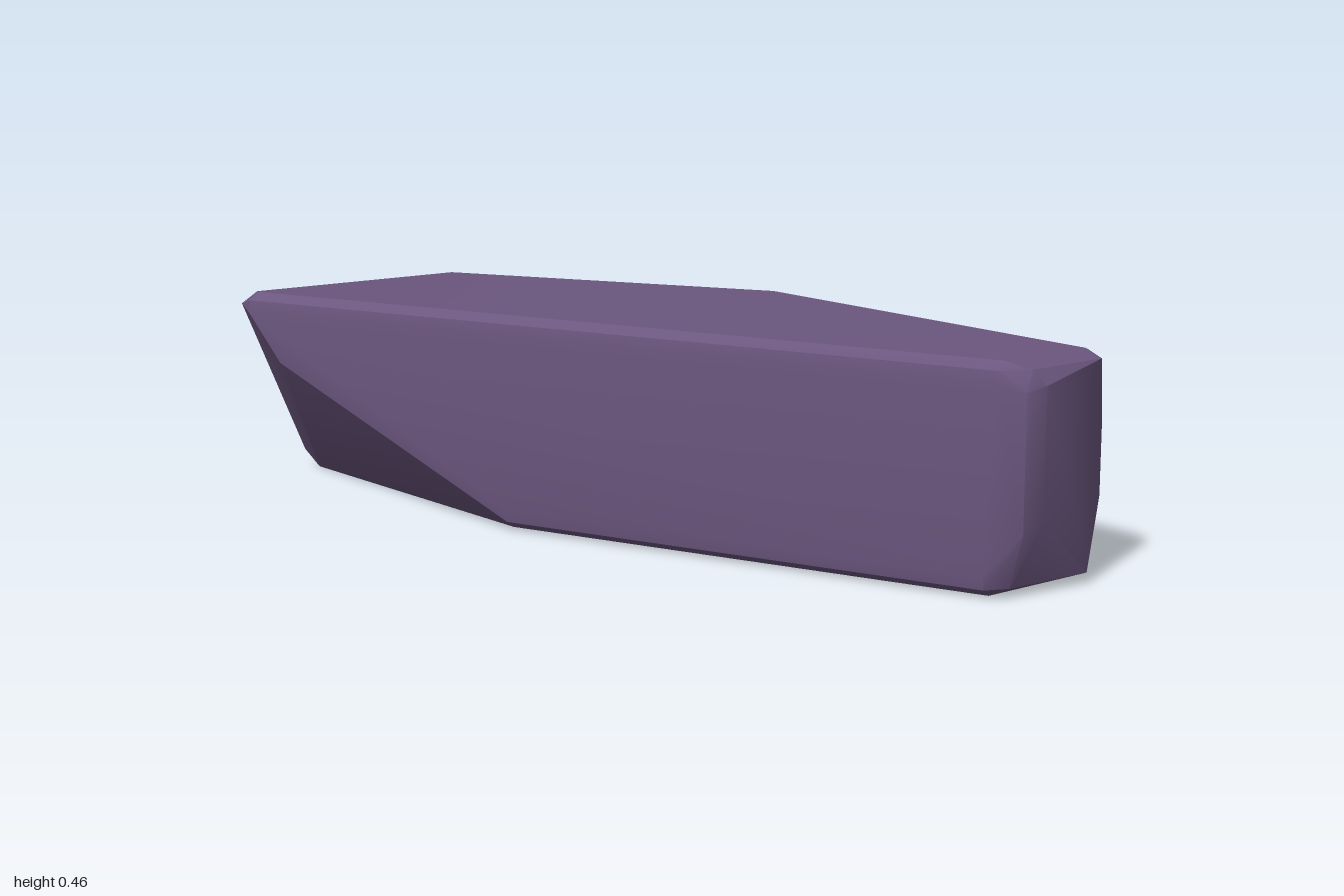
import * as THREE from 'three';
import { ConvexGeometry } from 'three/addons/geometries/ConvexGeometry.js';
import { toCreasedNormals } from 'three/addons/utils/BufferGeometryUtils.js';

export function createModel() {
  const corners = [];
  const add = (...list) => list.forEach(p => corners.push(new THREE.Vector3(...p)));

  // Rounded long front edges: the upper one runs the full length, the lower one stops at the chipped corner
  const profile = [[0.01, 0.305], [0.02, 0.3], [0.045, 0.275]]; // inset from top or bottom, z
  const insets = [0.045, 0.018, 0.002];
  profile.forEach(([, z], i) => {
    add([-0.89, 0.457 - insets[i], z], [0.89, 0.457 - insets[i], z]);
    add([-0.21, insets[i], z], [0.87, insets[i], z]);
  });

  // Flat back face
  add([0.1, 0.457, -0.305], [0.08, 0.19, -0.305], [-0.05, 0.002, -0.305],
    [-0.95, 0, -0.305], [-1, 0.035, -0.305], [-0.86, 0.35, -0.305]);

  // Top facet that falls away to the back
  add([-0.7, 0.457, -0.2]);

  // Slanted end with the chipped lower corner
  add([-0.95, 0.432, 0.22], [-0.94, 0.425, 0.27], [-0.92, 0.45, 0.24],
    [-0.81, 0.305, 0.3], [-1, 0.035, -0.01], [-0.95, 0, 0.0]);

  // Narrow rounded end
  add([0.99, 0.31, 0.02], [0.99, 0.16, 0.02], [1, 0.437, 0.06], [0.96, 0.451, 0.04],
    [0.995, 0.022, 0.09], [0.94, 0.032, 0.02], [0.9, 0.006, 0.09],
    [0.965, 0.41, 0.25], [0.965, 0.15, 0.25], [0.94, 0.4, 0.285], [0.94, 0.13, 0.285],
    [0.94, 0.44, 0.26], [0.91, 0.02, 0.27]);

  const geometry = toCreasedNormals(new ConvexGeometry(corners), 0.45);
  const stone = new THREE.Mesh(geometry, new THREE.MeshStandardMaterial({ color: 0x6b567e }));
  stone.name = 'stoneBlock';

  const group = new THREE.Group();
  group.name = 'chippedStone';
  group.add(stone);
  return group;
}
